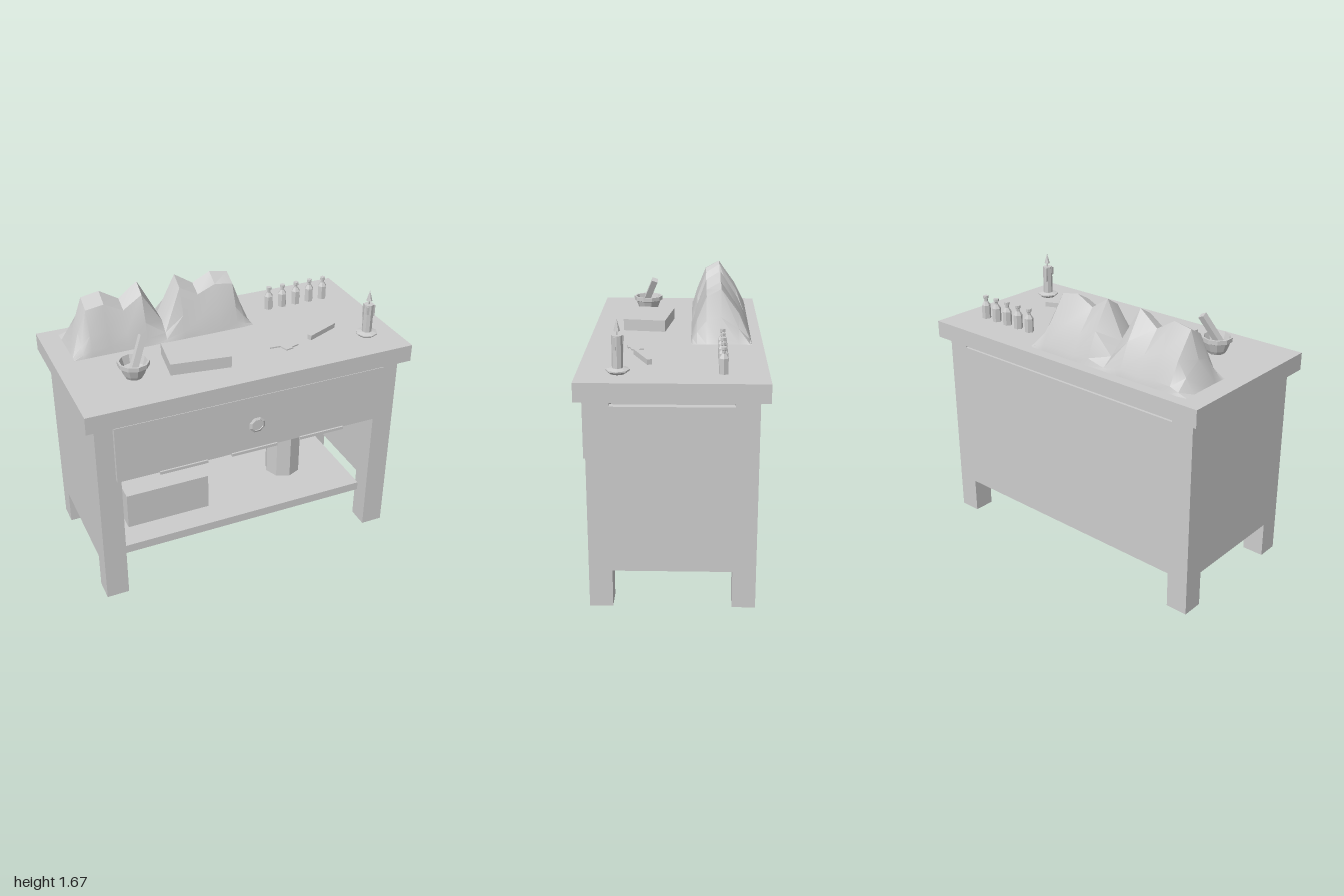
import * as THREE from 'three';
import { toCreasedNormals } from 'three/addons/utils/BufferGeometryUtils.js';

const TOP = 1.32; // height of the work surface

export function createModel() {
  const root = new THREE.Group();
  root.name = 'workTable';
  const grey = new THREE.MeshStandardMaterial({ color: 0xcccccc });
  grey.name = 'plain grey';
  grey.flatShading = true;
  grey.side = THREE.DoubleSide;

  const add = (name, geometry, x = 0, y = 0, z = 0, parent = root) => {
    const mesh = new THREE.Mesh(geometry, grey);
    mesh.name = name;
    mesh.position.set(x, y, z);
    parent.add(mesh);
    return mesh;
  };
  // Box given by its limits on each axis
  const block = (name, x0, x1, y0, y1, z0, z1) =>
    add(name, new THREE.BoxGeometry(x1 - x0, y1 - y0, z1 - z0), (x0 + x1) / 2, (y0 + y1) / 2, (z0 + z1) / 2);
  // Turned part with few sides
  const lathe = (points, sides) =>
    new THREE.LatheGeometry(points.map(([r, y]) => new THREE.Vector2(r, y)), sides);

  // Table top, legs, panels and shelf
  block('tableTop', -1, 1, 1.215, TOP, -0.51, 0.51);
  for (const s of [-1, 1]) {
    for (const t of [-1, 1]) {
      add('leg', new THREE.BoxGeometry(0.135, 1.215, 0.13), s * 0.8775, 0.6075, t * 0.395);
    }
    add('sidePanel', new THREE.BoxGeometry(0.04, 0.955, 0.66), s * 0.925, 0.6975, 0);
  }
  block('backPanel', -0.81, 0.81, 0.22, 1.175, -0.46, -0.42);
  block('shelf', -0.81, 0.81, 0.21, 0.265, -0.36, 0.36);

  // Drawer with a round pull and three strips along its lower edge
  block('drawerFront', -0.84, 0.835, 0.84, 1.195, 0.46, 0.485);
  block('drawerBody', -0.8, 0.8, 0.86, 1.17, -0.3, 0.46);
  const pull = add('drawerPull', lathe([[0, -0.008], [0.038, -0.008], [0.052, 0], [0.038, 0.008], [0.036, 0.003], [0, 0.003]], 8), 0, 1.02, 0.508);
  pull.rotation.set(Math.PI / 2, Math.PI / 8, 0);
  const stem = add('pullStem', new THREE.CylinderGeometry(0.01, 0.01, 0.02, 8), 0, 1.02, 0.493);
  stem.rotation.x = Math.PI / 2;
  for (const x of [-0.445, -0.005, 0.435]) {
    add('drawerStrip', new THREE.BoxGeometry(0.29, 0.018, 0.015), x, 0.838, 0.488);
  }

  // Things on the shelf
  block('storageBox', -0.71, -0.18, 0.265, 0.5, -0.2, 0.2);
  add('jar', new THREE.CylinderGeometry(0.115, 0.115, 0.355, 8), 0.435, 0.4425, 0);

  // Jagged mountain model: cross-sections along x, each sharing one profile
  const columns = [[-0.88, 1.322], [-0.825, 1.47], [-0.77, 1.625], [-0.66, 1.645], [-0.545, 1.575], [-0.43, 1.665],
    [-0.31, 1.44], [-0.195, 1.665], [-0.08, 1.59], [0.03, 1.645], [0.145, 1.625], [0.195, 1.47], [0.25, 1.322]];
  const profile = [[-0.445, 0], [-0.435, 0.12], [-0.37, 0.53], [-0.265, 1], [-0.18, 0.85], [-0.125, 0.4], [-0.1, 0.13], [-0.09, 0]];
  const positions = [];
  const corner = (i, j) => {
    const [x, height] = columns[i];
    const [z, f] = profile[j];
    positions.push(x, TOP + 0.002 + (height - TOP) * f, z);
  };
  for (let i = 0; i < columns.length - 1; i++) {
    for (let j = 0; j < profile.length - 1; j++) {
      for (const [a, b] of [[0, 0], [0, 1], [1, 0], [1, 0], [0, 1], [1, 1]]) corner(i + a, j + b);
    }
  }
  const ridge = new THREE.BufferGeometry();
  ridge.setAttribute('position', new THREE.Float32BufferAttribute(positions, 3));
  const smooth = grey.clone();
  smooth.flatShading = false;
  smooth.name = 'smooth grey';
  add('mountains', toCreasedNormals(ridge, 0.5)).material = smooth;

  // Mortar and pestle
  add('mortar', lathe([[0, 0], [0.05, 0], [0.062, 0.02], [0.08, 0.07], [0.092, 0.075], [0.092, 0.1],
    [0.08, 0.1], [0.065, 0.05], [0, 0.03]], 10), -0.62, TOP, 0.2);
  const low = new THREE.Vector3(-0.63, 1.37, 0.22);
  const high = new THREE.Vector3(-0.543, 1.54, 0.152);
  const pestle = add('pestle', new THREE.BoxGeometry(0.038, low.distanceTo(high), 0.038));
  pestle.position.lerpVectors(low, high, 0.5);
  pestle.quaternion.setFromUnitVectors(new THREE.Vector3(0, 1, 0), high.clone().sub(low).normalize());

  // Book, small bar and torn scrap lying on the table
  add('book', new THREE.BoxGeometry(0.354, 0.07, 0.257), -0.2375, TOP + 0.035, 0.1725).rotation.y = -0.142;
  add('smallBar', new THREE.BoxGeometry(0.225, 0.03, 0.028), 0.575, TOP + 0.02, 0.172).rotation.y = 0.4;
  const scrap = new THREE.Shape([[0.21, 0.22], [0.37, 0.175], [0.385, 0.245], [0.335, 0.258], [0.34, 0.27], [0.29, 0.278], [0.275, 0.225]]
    .map(([x, z]) => new THREE.Vector2(x, -z)));
  add('scrap', new THREE.ExtrudeGeometry(scrap, { depth: 0.008, bevelEnabled: false }), 0, TOP + 0.001, 0).rotation.x = -Math.PI / 2;

  // Row of five small bottles
  const bottle = lathe([[0, 0], [0.028, 0], [0.028, 0.085], [0.012, 0.11], [0.012, 0.125], [0.017, 0.128], [0.017, 0.145], [0, 0.145]], 6);
  for (let i = 0; i < 5; i++) add('bottle', bottle, 0.435 + i * 0.095, TOP, -0.268).rotation.y = Math.PI / 6;

  // Candle on a dish, with wax drips
  const candle = new THREE.Group();
  candle.name = 'candle';
  candle.position.set(0.818, TOP, 0.29);
  root.add(candle);
  add('dish', lathe([[0, 0], [0.045, 0], [0.065, 0.015], [0.065, 0.022], [0.035, 0.03], [0, 0.03]], 8), 0, 0, 0, candle);
  add('wax', new THREE.CylinderGeometry(0.03, 0.03, 0.18, 8), 0, 0.115, 0, candle);
  add('wick', new THREE.CylinderGeometry(0.005, 0.005, 0.04, 5), 0, 0.215, 0, candle);
  add('flame', new THREE.ConeGeometry(0.018, 0.065, 6), 0, 0.26, 0, candle);
  [[0.4, 0.07], [2.3, 0.05], [4.2, 0.09]].forEach(([a, h]) => {
    add('drip', new THREE.BoxGeometry(0.014, h, 0.014), Math.cos(a) * 0.029, 0.2 - h / 2, Math.sin(a) * 0.029, candle);
  });
  return root;
}
